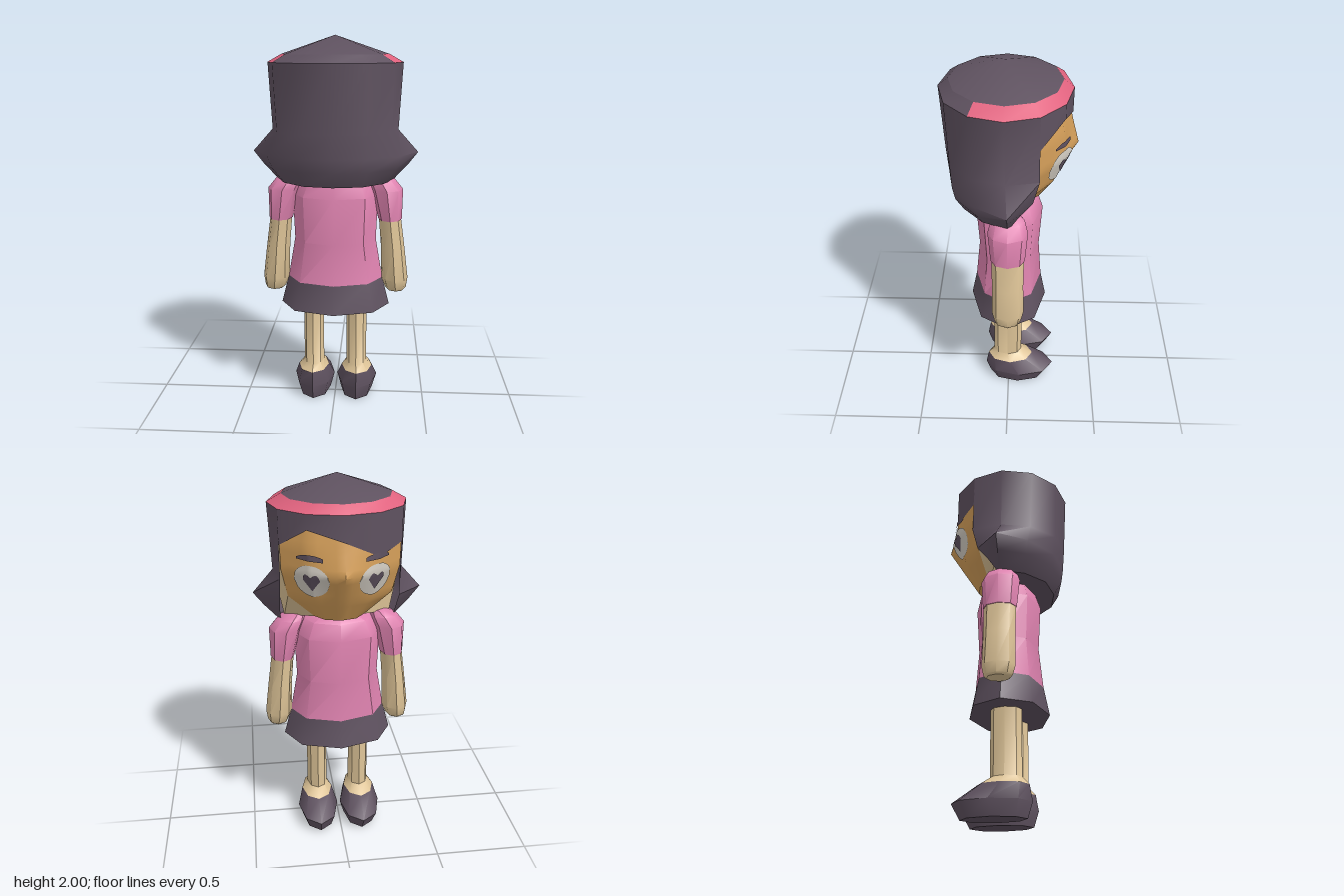
import * as THREE from 'three';
import { toCreasedNormals } from 'three/addons/utils/BufferGeometryUtils.js';

const paint = (name, color, side = THREE.FrontSide) => {
  const m = new THREE.MeshStandardMaterial({ color, side });
  m.name = name;
  return m;
};
const { lerp } = THREE.MathUtils;

// Surface through rows of points, rows running top to bottom, columns counterclockwise from above.
function grid(rows, crease = 0.75) {
  const n = rows[0].length, index = [];
  for (let i = 0; i < rows.length - 1; i++) {
    for (let j = 0; j < n - 1; j++) {
      const a = i * n + j, b = a + n;
      index.push(a, b, a + 1, a + 1, b, b + 1);
    }
  }
  const g = new THREE.BufferGeometry();
  g.setAttribute('position', new THREE.Float32BufferAttribute(rows.flat(2), 3));
  g.setIndex(index);
  return toCreasedNormals(g, crease);
}

// Closed tube through elliptical rings [cx, y, cz, rx, rz], with capped ends.
function loft(rings, sides = 8) {
  const loop = ([cx, y, cz, rx, rz]) => Array.from({ length: sides + 1 }, (_, j) => {
    const t = ((j % sides) / sides) * Math.PI * 2;
    return [cx + rx * Math.sin(t), y, cz + rz * Math.cos(t)];
  });
  const tip = ([cx, y, cz]) => loop([cx, y, cz, 0, 0]);
  return grid([tip(rings[0]), ...rings.map(loop), tip(rings[rings.length - 1])]);
}

// Half face: y, then [x, z] at the centre line, cheek fold and temple.
const FACE = [
  [1.82, [0, -0.285], [0.16, -0.248], [0.285, -0.138]],
  [1.70, [0, -0.31], [0.17, -0.264], [0.3, -0.15]],
  [1.57, [0, -0.345], [0.165, -0.27], [0.297, -0.15]],
  [1.42, [0, -0.252], [0.14, -0.22], [0.265, -0.125]],
  [1.29, [0, -0.17], [0.08, -0.15], [0.13, -0.09]],
];
// Point on the face: u = -2..2 across, r = 0..4 down the rows, pushed out by lift.
function facePoint(u, r, lift = 0) {
  const i = Math.min(3, Math.floor(r)), k = Math.min(1, Math.floor(Math.abs(u)));
  const fr = r - i, fu = Math.abs(u) - k;
  const at = (row, c) => lerp(row[k + 1][c], row[k + 2][c], fu);
  const x = lerp(at(FACE[i], 0), at(FACE[i + 1], 0), fr) * (u < 0 ? -1 : 1);
  const z = lerp(at(FACE[i], 1), at(FACE[i + 1], 1), fr);
  const d = 1 + lift / Math.hypot(x, z);
  return [x * d, lerp(FACE[i][0], FACE[i + 1][0], fr), z * d];
}
function faceRow(y) {
  const i = Math.max(0, FACE.findIndex((row, k) => k < 4 && y <= row[0] && y >= FACE[k + 1][0]));
  return i + (FACE[i][0] - y) / (FACE[i][0] - FACE[i + 1][0]);
}
// Thin painted patch on the face between two curves of t = -1..1.
function patch(side, u, halfWidth, top, bottom, lift) {
  const rows = [];
  for (let i = 0; i <= 8; i++) {
    const row = [];
    for (let j = 0; j <= 16; j++) {
      const t = 1 - j / 8, s = t * side;
      row.push(facePoint(side * u + t * halfWidth, faceRow(lerp(top(s), bottom(s), i / 8)), lift));
    }
    rows.push(row);
  }
  return grid(rows);
}

export function createModel() {
  const model = new THREE.Group();
  const hair = paint('dark plum', 0x5f5260, THREE.DoubleSide);
  const cloth = paint('plum cloth', 0x5f5260);
  const skin = paint('light skin', 0xdfc598, THREE.DoubleSide);
  const faceSkin = paint('face tan', 0xd6a05a, THREE.DoubleSide);
  const pink = paint('shirt pink', 0xdf83b0);
  const rose = paint('headband rose', 0xe0627e, THREE.DoubleSide);
  const white = paint('eye white', 0xd6d0c6, THREE.DoubleSide);
  const add = (name, geometry, material) => {
    const m = new THREE.Mesh(geometry, material);
    m.name = name;
    model.add(m);
    return m;
  };

  // Shirt and skirt
  add('shirt', loft([[0, 1.29, -0.02, 0.11, 0.08], [0, 1.255, 0, 0.19, 0.15], [0, 1.17, 0, 0.232, 0.178],
    [0, 0.92, 0, 0.222, 0.163], [0, 0.7, 0.003, 0.26, 0.182]]), pink);
  add('skirt', loft([[0, 0.7, 0.003, 0.26, 0.182], [0, 0.545, 0.003, 0.3, 0.212]]), cloth);
  add('neck', loft([[0, 1.36, -0.02, 0.08, 0.07], [0, 1.25, -0.02, 0.09, 0.075]]), skin);

  // Limbs
  for (const s of [1, -1]) {
    const limb = (name, rings, mat) => add(name, loft(rings.map(([x, ...rest]) => [s * x, ...rest])), mat);
    limb('sleeve', [[0.215, 1.285, 0, 0.04, 0.05], [0.245, 1.255, 0, 0.075, 0.085],
      [0.278, 1.2, 0, 0.087, 0.102], [0.298, 1.035, 0, 0.064, 0.088]], pink);
    limb('forearm', [[0.298, 1.035, 0, 0.06, 0.084], [0.315, 0.88, 0, 0.064, 0.082], [0.328, 0.7, 0, 0.073, 0.085],
      [0.335, 0.645, 0, 0.058, 0.072], [0.335, 0.635, 0, 0.05, 0.06]], skin);
    limb('leg', [[0.12, 0.58, 0.005, 0.056, 0.08], [0.12, 0.2, 0.005, 0.056, 0.08],
      [0.123, 0.163, -0.01, 0.086, 0.13]], skin);
    limb('shoe', [[0.123, 0.163, -0.01, 0.086, 0.13], [0.122, 0.08, -0.065, 0.114, 0.2],
      [0.12, 0, -0.055, 0.09, 0.165]], cloth);
  }

  // Face, with the skin behind the jaw
  add('face', grid(Array.from({ length: 17 }, (_, i) =>
    Array.from({ length: 17 }, (_, j) => facePoint(2 - j / 4, i / 4)))), faceSkin);
  for (const s of [1, -1]) {
    const rows = FACE.map(([y, , , [x, z]], i) => {
      const back = [s * [0.29, 0.3, 0.31, 0.31, 0.28][i], i === 4 ? 1.262 : y, 0.01];
      const front = [s * x, y, z];
      return s > 0 ? [back, front] : [front, back];
    });
    add('cheek', grid(rows), skin);
  }
  add('chin', grid([facePoint, facePoint].map((f, i) =>
    Array.from({ length: 9 }, (_, j) => i ? [f(2 - j / 2, 4)[0], 1.29, 0.03] : f(2 - j / 2, 4)))), faceSkin);

  // Eyes and brows
  for (const s of [1, -1]) {
    const arc = (t) => Math.sqrt(Math.max(0, 1 - t * t));
    add('eye', patch(s, 1, 0.56, (t) => 1.535 + 0.085 * arc(t), (t) => 1.535 - 0.085 * arc(t), 0.005), white);
    add('pupil', patch(s, 0.97, 0.26, (t) => 1.545 + 0.04 * Math.min(1, 0.4 + Math.abs(t)) * arc(t),
      (t) => 1.485 + 0.06 * Math.abs(t), 0.009), hair);
    add('brow', patch(s, 1, 0.4, (t) => 1.672 - 0.016 * t * t, (t) => 1.642 + 0.004 * t, 0.007), hair);
  }

  // Hair: rim and crown rings, column j = 0 at the back, 6 at the front
  const ring = (j, y, rx, rz) => {
    const a = j * Math.PI / 6;
    return [rx * Math.sin(a), y, 0.015 + rz * Math.cos(a)];
  };
  const outer = (j, y = 1.865) => ring(j, y, 0.352, 0.325);
  const inner = (j) => ring(j, 1.905, 0.28, 0.275);
  const span = (a, b, f) => Array.from({ length: b - a + 1 }, (_, i) => f(a + i));
  add('crown', grid([span(0, 12, () => [0, 2, 0.015]), span(0, 12, inner)]), hair);
  add('crownBack', grid([span(-2, 2, inner), span(-2, 2, (j) => outer(j))]), hair);
  add('headband', grid([span(2, 10, inner), span(2, 10, (j) => outer(j))]), rose);

  // Long hair: [x, y, z] down each column from the back centre to the front edge
  const ys = [1.52, 1.4, 1.33, 1.25];
  const columns = [
    [[0, 0.32], [0, 0.31], [0, 0.3], [0, 0.255]],
    [[0.17, 0.285], [0.18, 0.278], [0.175, 0.265], [0.15, 0.225]],
    [[0.29, 0.165], [0.345, 0.155], [0.32, 0.145], [0.26, 0.125]],
    [[0.333, 0.01], [0.44, 0], [0.385, 0], [0.31, 0]],
    [[0.302, -0.152], [0.305, -0.122], [0.305, -0.065], [0.3, -0.012]],
  ];
  const lock = (j, i) => {
    const [x, z] = columns[Math.abs(j)][i];
    return [Math.sign(j) * x, ys[i], z];
  };
  add('longHair', grid([span(-4, 4, (j) => outer(j)), ...ys.map((_, i) => span(-4, 4, (j) => lock(j, i)))], 1), hair);
  add('hairUnderside', grid([span(-4, 4, (j) => lock(j, 3)), span(-4, 4, () => [0, 1.252, 0.03])]), hair);

  // Swept fringe
  const hem = [1.69, 1.79, 1.735, 1.65, 1.69];
  add('fringe', grid([span(4, 8, (j) => outer(j)), span(4, 8, (j) => outer(j, hem[j - 4]))]), hair);
  return model;
}
